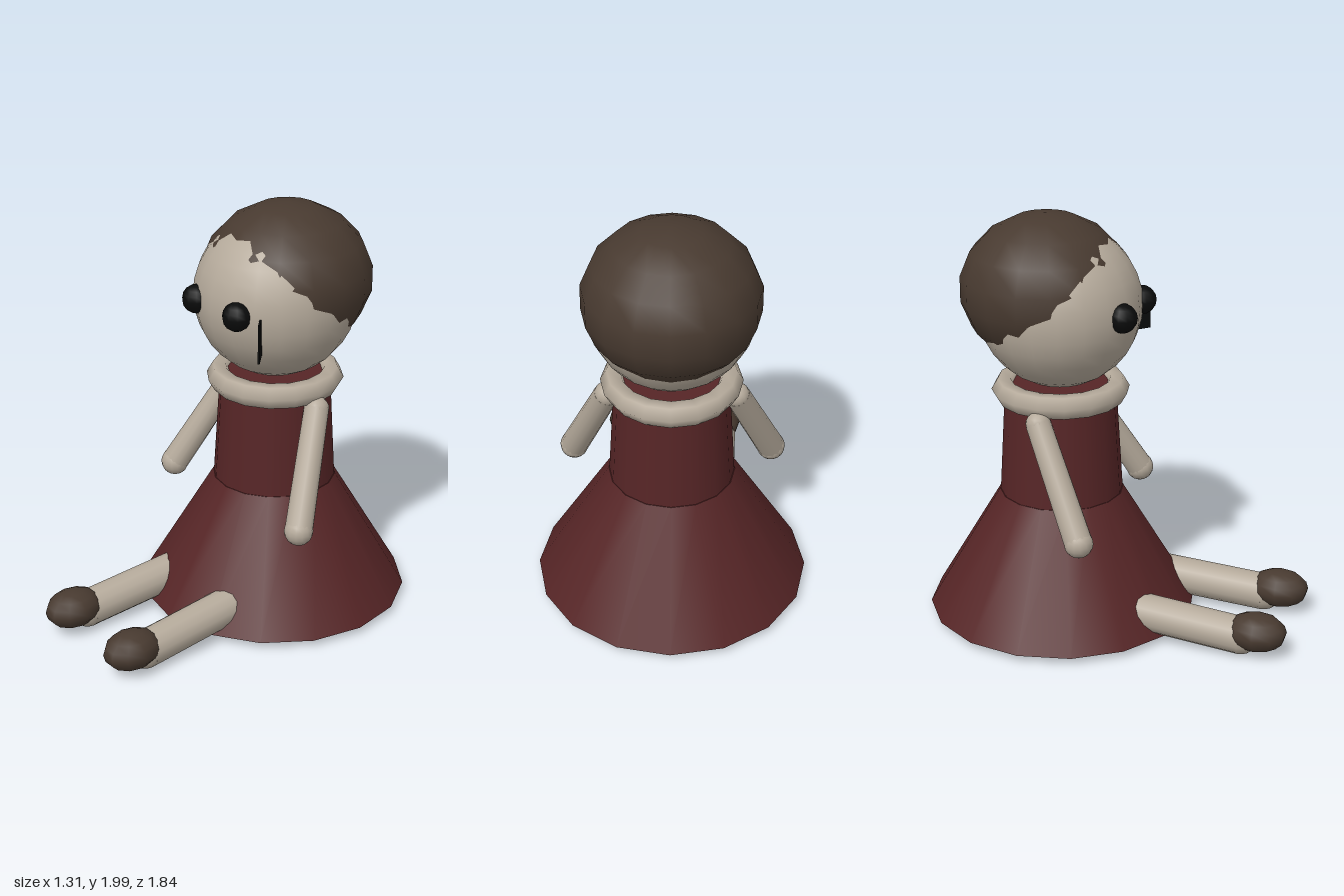
import * as THREE from 'three';

const material = (name, color) => {
  const m = new THREE.MeshStandardMaterial({ color });
  m.name = name;
  return m;
};

export function createModel() {
  const skin = material('pale cloth', 0xb5aa9b);
  const red = material('dark red cloth', 0x562526);
  const brown = material('brown', 0x483a30);
  const black = material('black', 0x0a0b0b);

  const doll = new THREE.Group();
  doll.name = 'sittingDoll';
  const add = (name, geometry, mat, x, y, z) => {
    const mesh = new THREE.Mesh(geometry, mat);
    mesh.name = name;
    mesh.position.set(x, y, z);
    doll.add(mesh);
    return mesh;
  };
  // Tapered limb from point a (radius ra) to point b (radius rb)
  const limb = (name, a, b, ra, rb, mat) => {
    const dir = b.clone().sub(a);
    const mid = a.clone().add(b).multiplyScalar(0.5);
    const mesh = add(name, new THREE.CylinderGeometry(rb, ra, dir.length(), 14), mat, mid.x, mid.y, mid.z);
    mesh.quaternion.setFromUnitVectors(new THREE.Vector3(0, 1, 0), dir.normalize());
    return mesh;
  };
  const ball = (name, r, p, mat) => add(name, new THREE.SphereGeometry(r, 14, 10), mat, p.x, p.y, p.z);

  const bodyZ = -0.27;

  // Dress
  add('skirt', new THREE.CylinderGeometry(0.3, 0.655, 0.595, 16), red, 0, 0.3375, bodyZ);
  add('bodice', new THREE.CylinderGeometry(0.265, 0.297, 0.545, 16), red, 0, 0.9075, bodyZ);
  const collar = add('collar', new THREE.TorusGeometry(0.27, 0.06, 6, 16), skin, 0, 1.15, bodyZ);
  collar.rotation.x = Math.PI / 2;

  // Head and squashed hair cap
  add('head', new THREE.SphereGeometry(0.392, 20, 16), skin, 0, 1.565, bodyZ);
  const hair = add('hair', new THREE.SphereGeometry(0.41, 16, 9), brown, 0, 1.64, -0.335);
  hair.scale.y = 0.36 / 0.41;

  // Thin plate standing out from the left cheek
  const plate = add('cheekPlate', new THREE.BoxGeometry(0.14, 0.185, 0.009), black, 0.252, 1.4825, 0.032);
  plate.rotation.y = -Math.PI / 4;

  for (const [side, s] of [['left', 1], ['right', -1]]) {
    add(side + 'Eye', new THREE.SphereGeometry(0.069, 10, 8), black, s * 0.15, 1.575, 0.087);

    // Arm
    const shoulder = new THREE.Vector3(s * 0.3, 1.07, -0.275);
    const hand = new THREE.Vector3(s * 0.48, 0.578, -0.02);
    limb(side + 'Arm', shoulder, hand, 0.06, 0.067, skin);
    ball(side + 'Shoulder', 0.06, shoulder, skin);
    ball(side + 'Hand', 0.069, hand, skin);

    // Leg and shoe
    const hip = new THREE.Vector3(s * 0.215, 0.155, 0);
    const ankle = new THREE.Vector3(s * 0.238, 0.096, 0.7);
    limb(side + 'Leg', hip, ankle, 0.09, 0.09, skin);
    ball(side + 'Ankle', 0.09, ankle, skin);
    const shoe = add(side + 'Shoe', new THREE.SphereGeometry(1, 10, 8), brown, s * 0.24, 0.128, 0.777);
    shoe.scale.set(0.112, 0.092, 0.145);
  }
  return doll;
}
